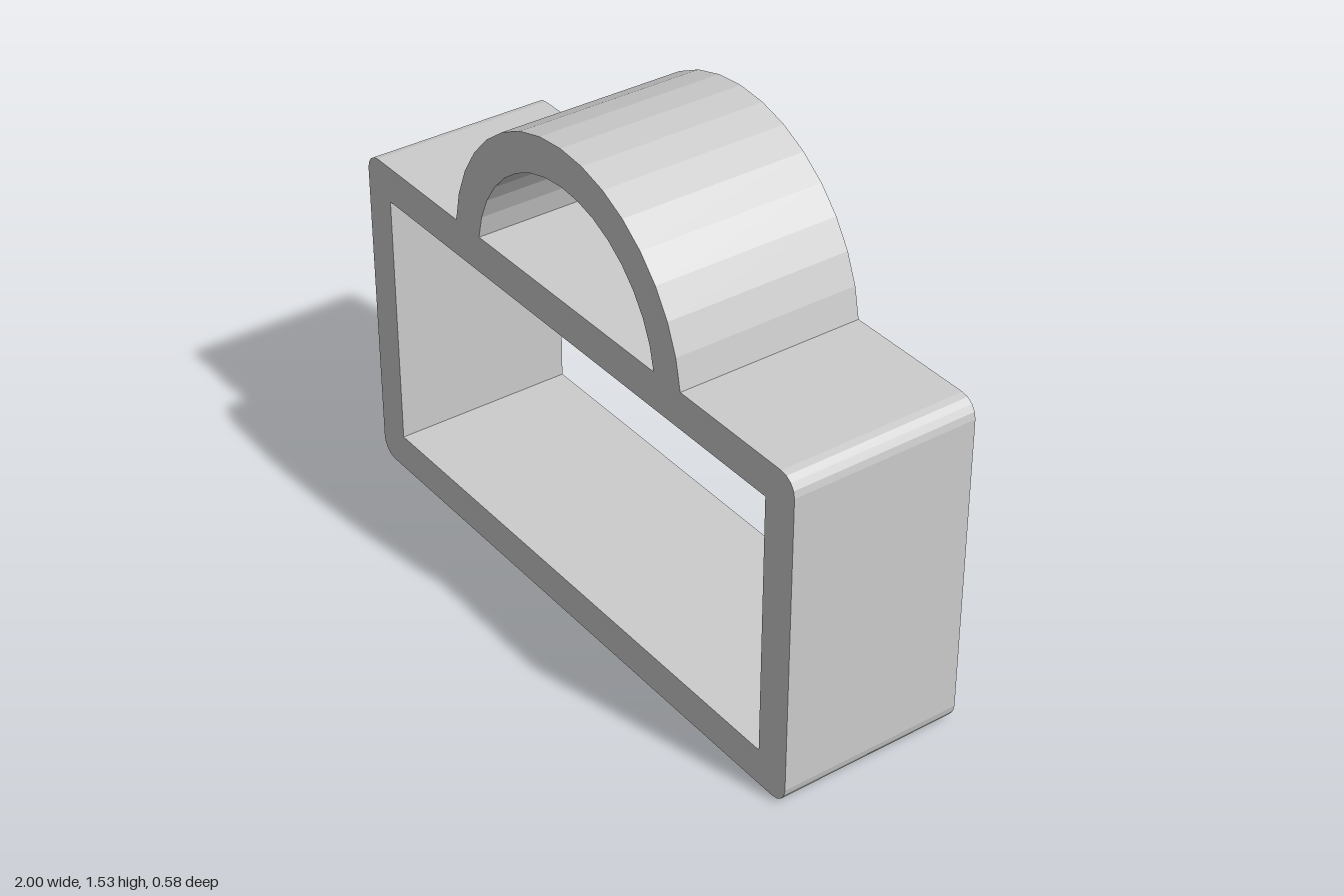
import * as THREE from 'three';

const DEPTH = 0.585;

// points along an arc, angles in radians
function arc(cx, cy, r, a0, a1, n) {
  return Array.from({ length: n + 1 }, (_, i) => {
    const a = a0 + ((a1 - a0) * i) / n;
    return new THREE.Vector2(cx + r * Math.cos(a), cy + r * Math.sin(a));
  });
}

export function createModel() {
  const group = new THREE.Group();
  group.name = 'handledFrame';
  const grey = new THREE.MeshStandardMaterial({ color: 0xcccccc, flatShading: true });
  grey.name = 'light grey';

  function addPart(name, shape) {
    const geometry = new THREE.ExtrudeGeometry(shape, { depth: DEPTH, bevelEnabled: false });
    geometry.translate(0, 0, -DEPTH / 2);
    const mesh = new THREE.Mesh(geometry, grey);
    mesh.name = name;
    group.add(mesh);
  }

  // rectangular frame: rounded outer corners, sharp opening
  const top = 1.06, r = 0.055, q = Math.PI / 2;
  const frame = new THREE.Shape([
    ...arc(1 - r, r, r, -q, 0, 4),
    ...arc(1 - r, top - r, r, 0, q, 4),
    ...arc(-1 + r, top - r, r, q, 2 * q, 4),
    ...arc(-1 + r, r, r, 2 * q, 3 * q, 4),
  ]);
  frame.holes.push(new THREE.Path([
    new THREE.Vector2(-0.885, 0.115), new THREE.Vector2(-0.885, 0.945),
    new THREE.Vector2(0.885, 0.945), new THREE.Vector2(0.885, 0.115),
  ]));
  addPart('frame', frame);

  // arched handle, both feet ending on the frame top
  const cy = 1.0, outer = 0.53, inner = 0.415;
  const a = Math.asin((top - cy) / outer), b = Math.asin((top - cy) / inner);
  addPart('handle', new THREE.Shape([
    ...arc(0, cy, outer, a, Math.PI - a, 16),
    ...arc(0, cy, inner, Math.PI - b, b, 16),
  ]));

  return group;
}
